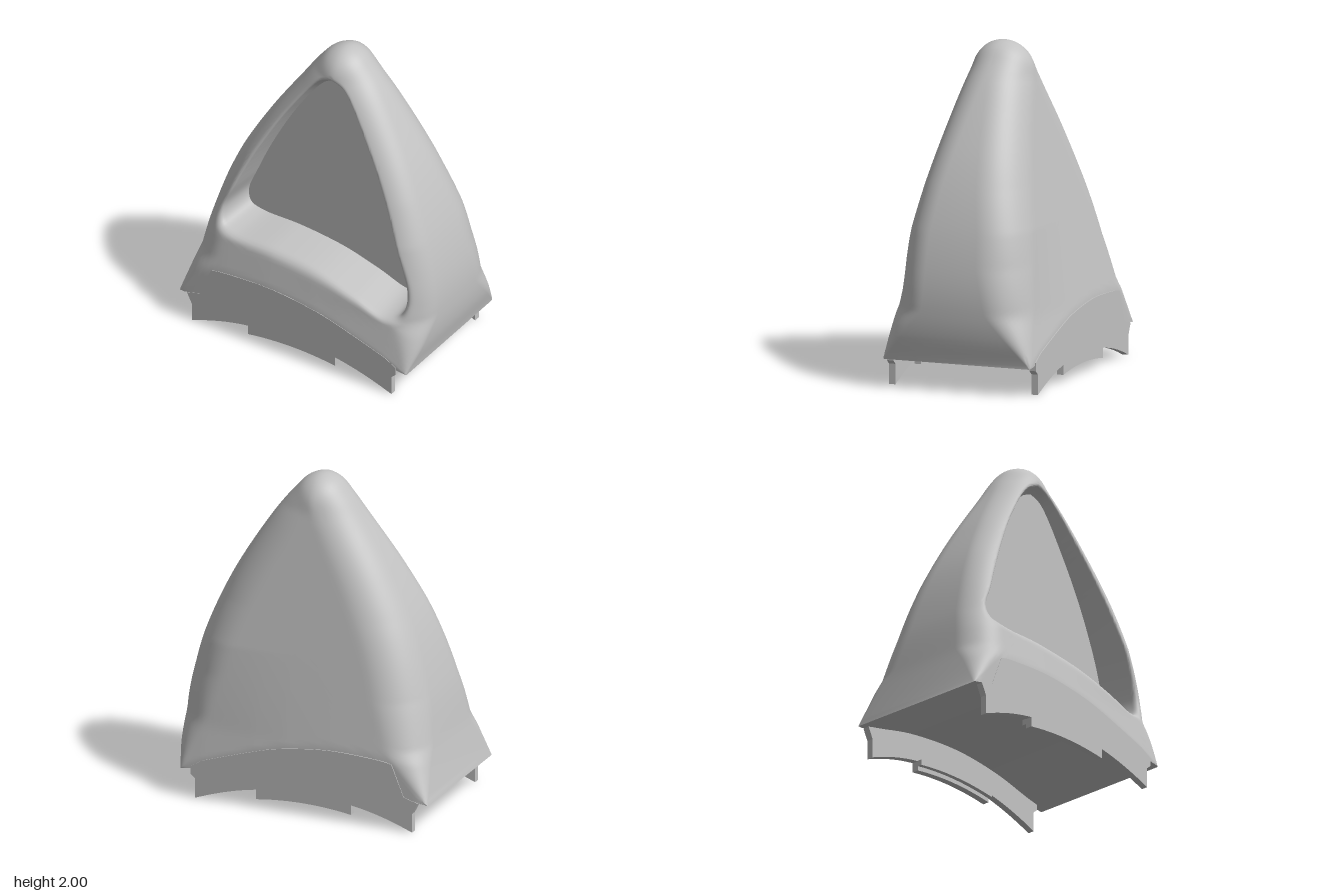
import * as THREE from 'three';
import { toCreasedNormals } from 'three/addons/utils/BufferGeometryUtils.js';

const V = (x, y) => new THREE.Vector2(x, y);
const clamp = THREE.MathUtils.clamp;

// evenly spaced points on a smooth curve through the given points
function smooth(list, count) {
  const curve = new THREE.CatmullRomCurve3(list.map(([x, y]) => new THREE.Vector3(x, y, 0)), false, 'centripetal');
  return curve.getSpacedPoints(count).map((p) => V(p.x, p.y));
}

// piecewise linear lookup in a table of [position, value], ascending
function lookup(table, p) {
  if (p <= table[0][0]) return table[0][1];
  for (let i = 1; i < table.length; i++) {
    const [a, va] = table[i - 1], [b, vb] = table[i];
    if (p <= b) return va + (vb - va) * (p - a) / (b - a);
  }
  return table[table.length - 1][1];
}

// silhouette of the ear: right edge up, over the tip, left edge down
const sides = smooth([
  [0.77, 0.17], [0.812, 0.33], [0.825, 0.5], [0.805, 0.71], [0.73, 1.0], [0.585, 1.34],
  [0.34, 1.74], [0.22, 1.89], [0.14, 1.97], [0.05, 2.0], [-0.04, 1.97], [-0.12, 1.885], [-0.22, 1.74],
  [-0.41, 1.45], [-0.58, 1.13], [-0.705, 0.77], [-0.785, 0.39], [-0.83, 0.18],
], 170);
// arched underside, left to right
const arch = smooth([
  [-0.83, 0.18], [-0.68, 0.21], [-0.4, 0.27], [0, 0.3], [0.35, 0.265], [0.62, 0.2], [0.77, 0.17],
], 40);
const outline = [...sides.slice(0, -1), ...arch.slice(0, -1)];

// edge of the recessed front panel
const panel = smooth([
  [0.05, 1.81], [-0.03, 1.775], [-0.21, 1.54], [-0.39, 1.22], [-0.503, 0.97], [-0.567, 0.8], [-0.55, 0.72],
  [-0.47, 0.69], [-0.2, 0.682], [0.1, 0.645], [0.35, 0.575], [0.55, 0.507], [0.64, 0.525],
  [0.67, 0.61], [0.64, 0.8], [0.505, 1.16], [0.335, 1.48], [0.13, 1.775], [0.05, 1.81],
], 240);
const centre = V(0.03, 1.0);
const panelZ = 0.115;

// where the ray from the centre through p crosses the panel edge
function panelPoint(p) {
  const d = p.clone().sub(centre);
  for (let i = 0; i < panel.length - 1; i++) {
    const a = panel[i].clone().sub(centre), e = panel[i + 1].clone().sub(panel[i]);
    const den = d.cross(e);
    if (Math.abs(den) < 1e-12) continue;
    const t = a.cross(e) / den, u = a.cross(d) / den;
    if (t > 0 && u >= -1e-6 && u <= 1 + 1e-6) return centre.clone().addScaledVector(d, t);
  }
  return centre.clone();
}

// distance from p to the silhouette, leaving out the underside
function sideDistance(p) {
  let best = 9;
  for (let i = 0; i < sides.length - 1; i++) {
    const a = sides[i], e = sides[i + 1].clone().sub(a), w = p.clone().sub(a);
    const t = clamp(w.dot(e) / e.lengthSq(), 0, 1);
    best = Math.min(best, w.addScaledVector(e, -t).length());
  }
  return best;
}

// depth and edge rounding by height
const frontDepth = [[0.17, 0.474], [0.44, 0.474], [0.65, 0.43], [0.77, 0.395], [1.85, 0.182], [2, 0.175]];
const backDepth = [[0.17, 0.474], [0.45, 0.47], [1.8, 0.2], [2, 0.19]];
const frontRound = [[0.17, 0.008], [0.48, 0.2], [0.75, 0.19], [1.2, 0.165], [1.85, 0.17], [2, 0.175]];
const backRound = [[0.17, 0.008], [0.48, 0.22], [0.75, 0.26], [1.2, 0.25], [1.8, 0.2], [2, 0.19]];
const rimRound = [[0.7, 0.055], [0.9, 0.025]];
const crease = [[-0.8, 0.39], [-0.5, 0.435], [-0.2, 0.445], [0.1, 0.41], [0.3, 0.36], [0.63, 0.25], [0.77, 0.18]];

const drop = (r, d) => (d < r ? r - Math.sqrt(r * r - (r - d) * (r - d)) : 0);
function depth(p, table, rounding) {
  const y = p.y + (0.445 - lookup(crease, p.x)) * clamp((0.95 - p.y) / 0.5, 0, 1);
  return lookup(table, y) - drop(lookup(rounding, p.y), sideDistance(p));
}

// shell in rings: recess wall, rounded rim, side strip and back
function shellGeometry() {
  const K = 18, rings = [];
  const inner = outline.map(panelPoint);
  const rim = inner.map((p) => p.clone().sub(centre).multiplyScalar(1.04).add(centre));
  const ease = (k) => 0.5 - 0.5 * Math.cos(Math.PI * k / K);
  rings.push(inner.map((p) => [p.x, p.y, panelZ]));
  for (let k = K; k >= 0; k--) {
    rings.push(outline.map((o, i) => {
      const p = o.clone().lerp(rim[i], ease(k));
      const gap = (1 - ease(k)) * o.distanceTo(rim[i]);
      return [p.x, p.y, depth(p, frontDepth, frontRound) - drop(lookup(rimRound, p.y), gap)];
    }));
  }
  for (let k = 0; k <= 24; k++) {
    rings.push(outline.map((o) => {
      const p = o.clone().lerp(centre, (k / 24) ** 2);
      return [p.x, p.y, -depth(p, backDepth, backRound)];
    }));
  }
  const n = outline.length, index = [];
  for (let k = 0; k < rings.length - 1; k++) {
    for (let i = 0; i < n; i++) {
      const j = (i + 1) % n, a = k * n + i, b = k * n + j, c = a + n, d = b + n;
      if (k < rings.length - 2) index.push(a, c, d, a, d, b);
      else index.push(a, c, b);
    }
  }
  const g = new THREE.BufferGeometry();
  g.setAttribute('position', new THREE.Float32BufferAttribute(rings.flat(2), 3));
  g.setIndex(index);
  return toCreasedNormals(g, 0.6);
}

// mounting skirt with a stepped lower edge that follows the arch
function skirtGeometry() {
  const s = new THREE.Shape();
  s.moveTo(-0.735, 0.002);
  s.quadraticCurveTo(-0.53, 0.085, -0.34, 0.112);
  s.lineTo(-0.34, 0.052);
  s.quadraticCurveTo(-0.03, 0.1, 0.275, 0.055);
  s.lineTo(0.275, 0.115);
  s.quadraticCurveTo(0.46, 0.085, 0.67, 0.002);
  s.lineTo(0.67, 0.125);
  s.lineTo(0.7, 0.15);
  s.lineTo(0.7, 0.2);
  s.lineTo(0.62, 0.245);
  s.splineThru([V(0.3, 0.35), V(0.1, 0.4), V(-0.2, 0.435), V(-0.5, 0.425), V(-0.6, 0.41)]);
  s.lineTo(-0.68, 0.215);
  s.lineTo(-0.77, 0.19);
  s.lineTo(-0.735, 0.12);
  return new THREE.ExtrudeGeometry(s, { depth: 0.042, bevelEnabled: false, curveSegments: 12 });
}

// small catch on the inner face of the skirt
function catchGeometry() {
  const s = new THREE.Shape();
  s.moveTo(-0.34, 0.08);
  s.quadraticCurveTo(-0.03, 0.125, 0.275, 0.08);
  s.lineTo(0.275, 0.115);
  s.quadraticCurveTo(-0.03, 0.16, -0.34, 0.115);
  return new THREE.ExtrudeGeometry(s, { depth: 0.03, bevelEnabled: false, curveSegments: 12 });
}

export function createModel() {
  const grey = new THREE.MeshStandardMaterial({ color: 0xc2c2c2 });
  grey.name = 'grey';
  const group = new THREE.Group();
  group.name = 'earShell';
  const add = (geometry, name, z) => {
    const mesh = new THREE.Mesh(geometry, grey);
    mesh.name = name;
    mesh.position.z = z;
    group.add(mesh);
  };
  add(shellGeometry(), 'shell', 0);
  add(new THREE.ShapeGeometry(new THREE.Shape(panel.slice(0, -1))), 'frontPanel', panelZ);
  add(skirtGeometry(), 'frontSkirt', 0.434);
  add(skirtGeometry(), 'backSkirt', -0.476);
  add(catchGeometry(), 'frontCatch', 0.406);
  add(catchGeometry(), 'backCatch', -0.436);
  return group;
}
